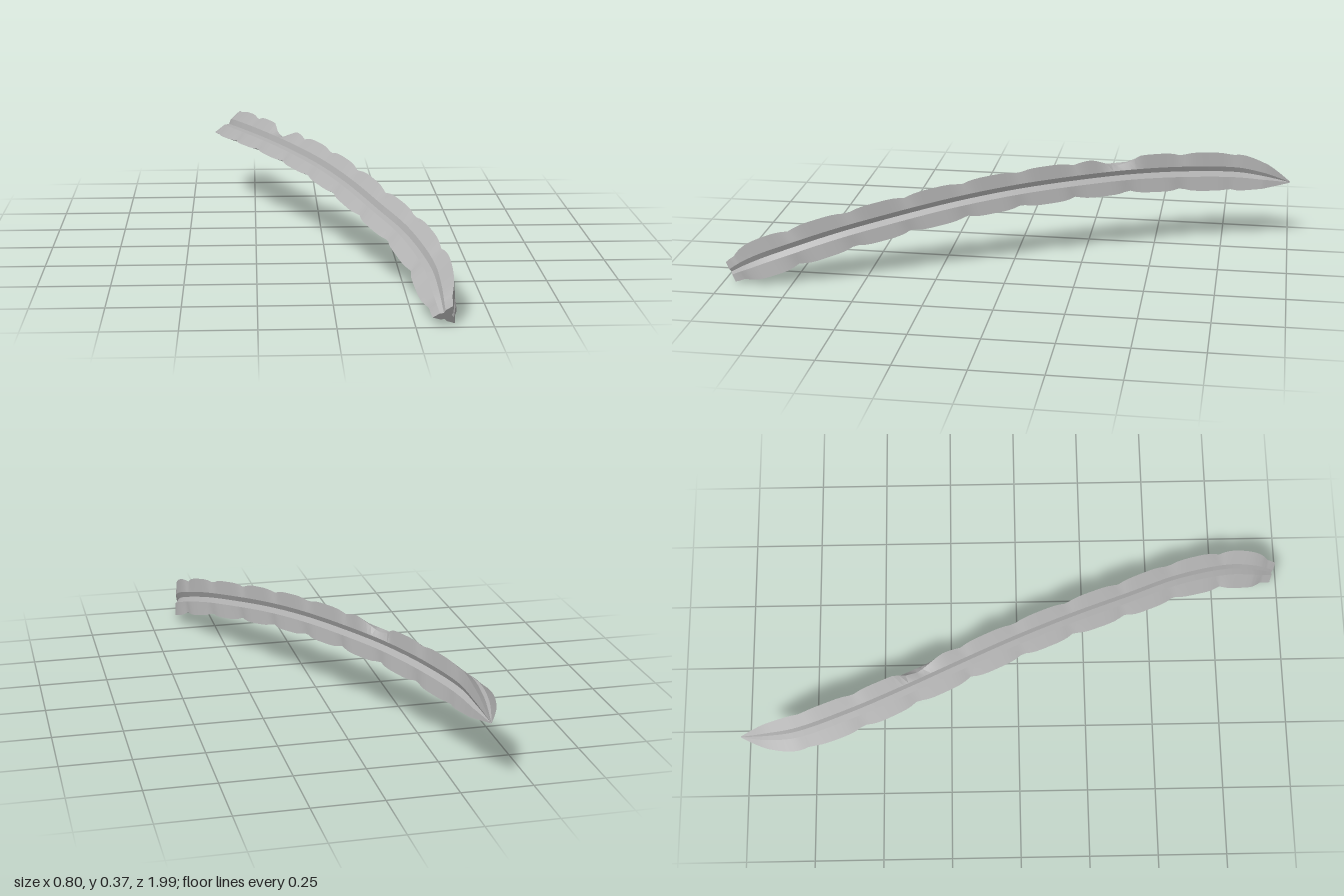
import * as THREE from 'three';
import { toCreasedNormals } from 'three/addons/utils/BufferGeometryUtils.js';

// Stations along the stem, back tip to front end: x, y, z, rib radius
const STATIONS = [
  [-0.345, 0.235, -1.0, 0.002], [-0.345, 0.247, -0.95, 0.031], [-0.343, 0.258, -0.9, 0.056],
  [-0.332, 0.274, -0.8, 0.08], [-0.265, 0.289, -0.6, 0.084], [-0.18, 0.295, -0.4, 0.081],
  [-0.086, 0.291, -0.2, 0.081], [0.008, 0.279, 0, 0.081], [0.098, 0.254, 0.2, 0.081],
  [0.184, 0.217, 0.4, 0.082], [0.272, 0.174, 0.6, 0.083], [0.335, 0.112, 0.8, 0.085],
  [0.348, 0.07, 0.9, 0.077], [0.35, 0.03, 0.975, 0.047],
];
const STEPS = 132;
const PERIOD = 0.19; // length of one scallop
const DEG = Math.PI / 180;

// Three-ribbed section: rib tip, shoulder, valley, shoulder, repeated
const SECTION = [];
for (let rib = 0; rib < 3; rib++) {
  for (const [offset, ratio] of [[0, 1], [34, 0.53], [60, 0.33], [86, 0.53]]) {
    SECTION.push({ angle: (69 + rib * 120 + offset) * DEG, ratio, rib });
  }
}

function createStemGeometry() {
  const path = new THREE.CatmullRomCurve3(STATIONS.map(([x, y, z]) => new THREE.Vector3(x, y, z)));
  const radii = new THREE.CatmullRomCurve3(STATIONS.map((s, i) => new THREE.Vector3(s[3], i, 0)));
  const up = new THREE.Vector3(0, 1, 0);
  const positions = [];
  const indices = [];
  const n = SECTION.length;

  for (let i = 0; i <= STEPS; i++) {
    const t = i / STEPS;
    const centre = path.getPoint(t);
    const tangent = path.getTangent(t);
    const side = new THREE.Vector3().crossVectors(up, tangent).normalize();
    const lift = new THREE.Vector3().crossVectors(tangent, side);
    const radius = radii.getPoint(t).x;
    // Scalloped rib edges, fading out at the pointed tip
    const wave = 1 - Math.abs(Math.sin(Math.PI * (centre.z + 0.01) / PERIOD));
    const fade = THREE.MathUtils.smoothstep(centre.z, -0.9, -0.65);
    const scallop = 1 - 0.17 * wave * wave * fade;
    // Bite out of the upper rib
    const bite = 1 - 0.5 * Math.max(0, 1 - Math.abs(centre.z + 0.35) / 0.085);
    for (const { angle, ratio, rib } of SECTION) {
      let r = radius * ratio;
      if (ratio === 1) r *= scallop * (rib === 0 ? bite : 1);
      const p = centre.clone()
        .addScaledVector(side, r * Math.cos(angle))
        .addScaledVector(lift, r * Math.sin(angle));
      positions.push(p.x, p.y, p.z);
    }
  }
  for (let i = 0; i < STEPS; i++) {
    for (let j = 0; j < n; j++) {
      const a = i * n + j, b = i * n + (j + 1) % n;
      indices.push(a, b, b + n, a, b + n, a + n);
    }
  }
  // Close the pointed back and the cut front
  for (const [ring, front] of [[0, false], [STEPS, true]]) {
    const p = path.getPoint(ring / STEPS);
    const c = positions.length / 3;
    positions.push(p.x, p.y, p.z);
    for (let j = 0; j < n; j++) {
      const a = ring * n + j, b = ring * n + (j + 1) % n;
      indices.push(c, front ? a : b, front ? b : a);
    }
  }

  const geometry = new THREE.BufferGeometry();
  geometry.setAttribute('position', new THREE.Float32BufferAttribute(positions, 3));
  geometry.setIndex(indices);
  return toCreasedNormals(geometry, 0.35);
}

export function createModel() {
  const grey = new THREE.MeshStandardMaterial({ color: 0xb0b0b0 });
  grey.name = 'stem grey';
  const stem = new THREE.Mesh(createStemGeometry(), grey);
  stem.name = 'ribbedStem';
  const model = new THREE.Group();
  model.name = 'cactusStem';
  model.add(stem);
  return model;
}
